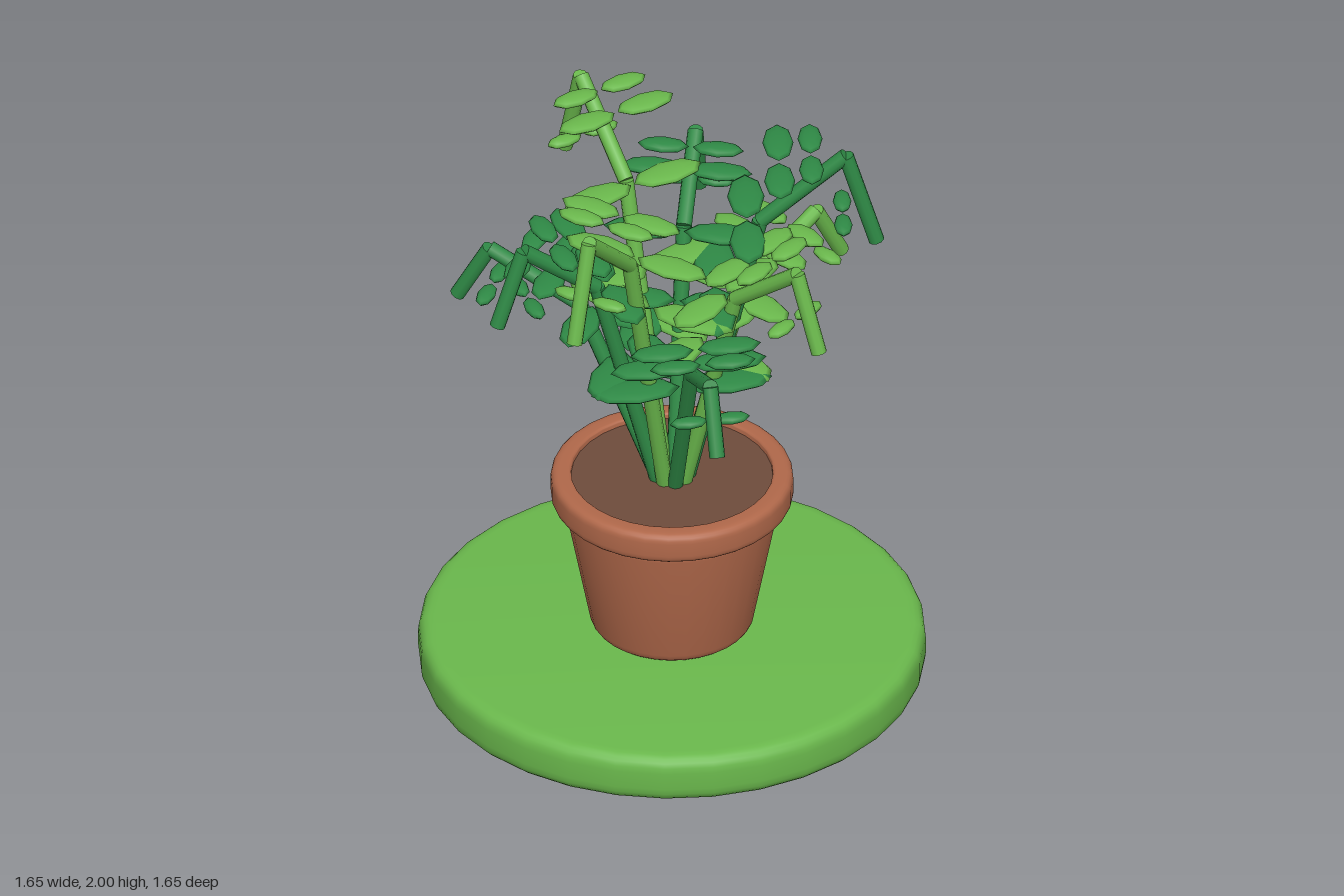
import * as THREE from 'three';
import { toCreasedNormals } from 'three/addons/utils/BufferGeometryUtils.js';

const material = (name, color) => {
  const m = new THREE.MeshStandardMaterial({ color });
  m.name = name;
  return m;
};

export function createModel() {
  const lightGreen = material('light green', 0x6ab84c);
  const darkGreen = material('dark green', 0x2f8a46);
  const terracotta = material('terracotta', 0xb0684a);
  const soilBrown = material('soil brown', 0x6e4c3c);

  const model = new THREE.Group();
  model.name = 'pottedPlant';

  const add = (parent, name, geometry, mat) => {
    const mesh = new THREE.Mesh(geometry, mat);
    mesh.name = name;
    parent.add(mesh);
    return mesh;
  };

  // Turned solid from a closed profile; each corner is [radius, height, bevel]
  const turned = (corners) => {
    const pts = [];
    corners.forEach(([r, y, bevel = 0], i) => {
      const p = new THREE.Vector2(r, y);
      if (!bevel) return pts.push(p);
      const toward = (c) => new THREE.Vector2(c[0], c[1]).sub(p).setLength(bevel).add(p);
      const a = toward(corners[i - 1]);
      const b = toward(corners[i + 1]);
      pts.push(...new THREE.QuadraticBezierCurve(a, p, b).getPoints(5));
    });
    return toCreasedNormals(new THREE.LatheGeometry(pts, 32), 0.6);
  };

  // Ground disc
  add(model, 'base', turned([[0, 0], [0.825, 0, 0.055], [0.825, 0.17, 0.055], [0, 0.17]]), lightGreen);

  // Pot
  add(model, 'potBody', turned([[0, 0.17], [0.262, 0.17, 0.035], [0.355, 0.655, 0.035], [0, 0.655]]), terracotta);
  add(model, 'potRim', turned([
    [0.3, 0.648], [0.395, 0.648, 0.03], [0.395, 0.755, 0.03], [0.328, 0.755, 0.012], [0.328, 0.69],
  ]), terracotta);
  const soil = add(model, 'soil', new THREE.CylinderGeometry(0.33, 0.33, 0.05, 32), soilBrown);
  soil.position.y = 0.71;

  // Straight stem piece between two points
  const up = new THREE.Vector3(0, 1, 0);
  const stem = (parent, name, a, b, mat) => {
    const dir = b.clone().sub(a);
    const mesh = add(parent, name, new THREE.CylinderGeometry(0.026, 0.026, dir.length(), 10), mat);
    mesh.position.copy(a).add(b).multiplyScalar(0.5);
    mesh.quaternion.setFromUnitVectors(up, dir.normalize());
  };

  // Fronds: three lengths in turn, built along +x and then swung around the pot
  const sizes = [
    { reach: 0.735, height: 0.77 },
    { reach: 0.665, height: 1.26 },
    { reach: 0.61, height: 1.02 },
  ];
  const leafHeights = [0.59, 0.795, 0.972, 0.994, 0.81];
  const leafGeometry = new THREE.SphereGeometry(1, 8, 6);
  const soilY = 0.73;

  for (let i = 0; i < 9; i++) {
    const { reach, height } = sizes[i % 3];
    const mat = i % 2 ? lightGreen : darkGreen;
    const frond = new THREE.Group();
    frond.name = 'frond' + (i + 1);
    frond.rotation.y = -THREE.MathUtils.degToRad(208 + i * 40);
    model.add(frond);

    const at = (r, h) => new THREE.Vector3(r * reach, soilY + h * height, 0);
    const points = [new THREE.Vector3(0.045, 0.71, 0), at(0.43, 0.79), at(0.85, 0.988), at(1, 0.725)];
    ['lowerStem', 'upperStem', 'stemTip'].forEach((name, k) => {
      stem(frond, name, points[k], points[k + 1], mat);
    });

    // Paired flat leaves, shrinking toward the tip
    leafHeights.forEach((h, k) => {
      const half = (0.295 - k * 0.042) / 2;
      for (const side of [-1, 1]) {
        const leaf = add(frond, 'leaf', leafGeometry, mat);
        leaf.position.copy(at(0.21 + k * 0.156, h));
        leaf.position.z = side * (half + 0.006);
        leaf.scale.set(half * 0.48, 0.017, half);
      }
    });
  }
  return model;
}
